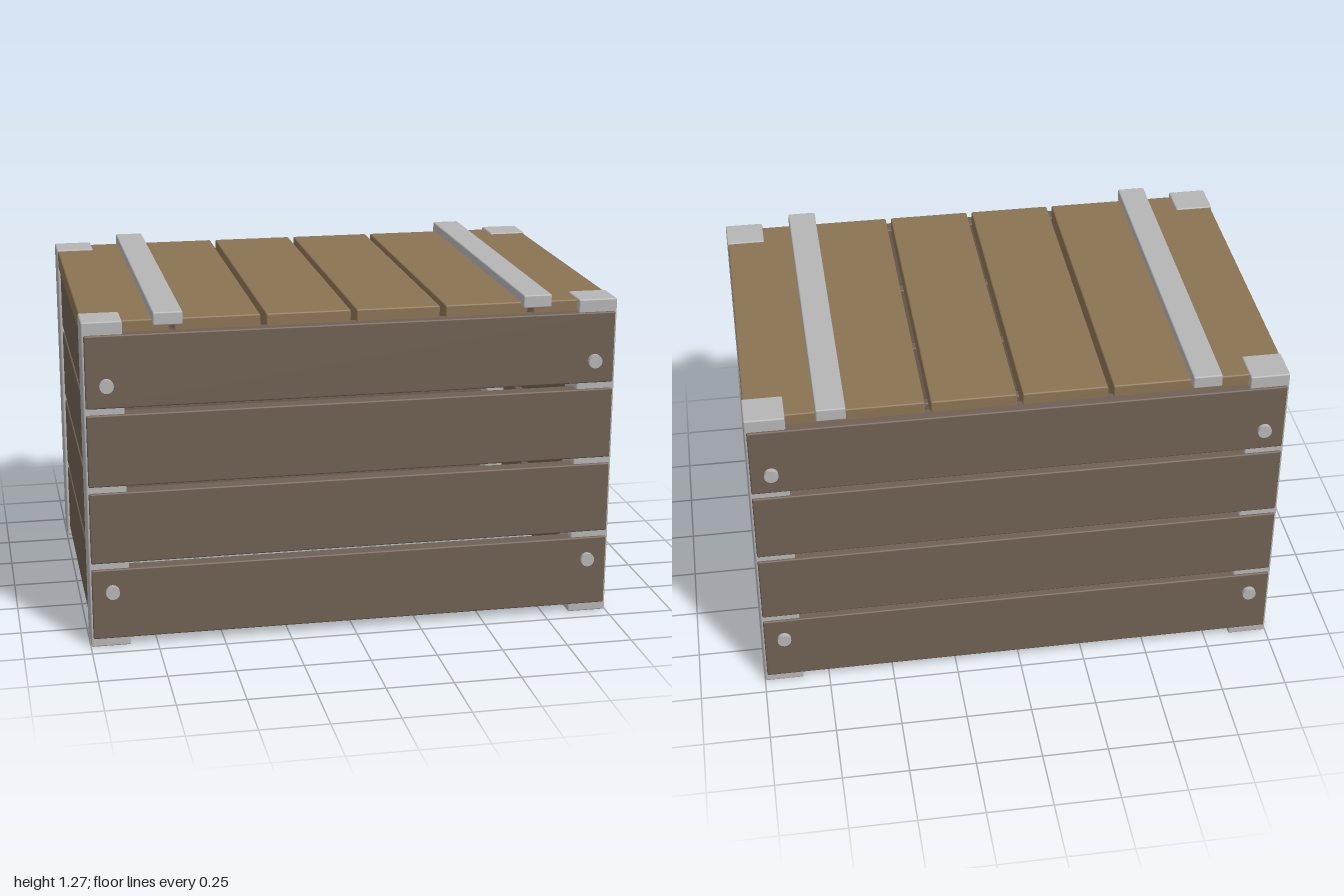
import * as THREE from 'three';
import { RoundedBoxGeometry } from 'three/addons/geometries/RoundedBoxGeometry.js';

export function createModel() {
  const crate = new THREE.Group();
  crate.name = 'crate';

  const material = (name, color) => {
    const m = new THREE.MeshStandardMaterial({ color });
    m.name = name;
    return m;
  };
  const darkWood = material('darkWood', 0x6f6053);
  const lidWood = material('lidWood', 0x8b7353);
  const metal = material('metal', 0xb5b5b5);

  // Box with softened edges, given by its minimum and maximum corners
  const addBox = (name, mat, min, max) => {
    const size = max.map((v, i) => v - min[i]);
    const mesh = new THREE.Mesh(new RoundedBoxGeometry(...size, 2, 0.006), mat);
    mesh.position.set(...max.map((v, i) => (v + min[i]) / 2));
    mesh.name = name;
    crate.add(mesh);
  };

  // Four wall boards per side; the floor is open
  for (let i = 0; i < 4; i++) {
    const y0 = 0.034 + i * 0.297, y1 = y0 + 0.273;
    addBox('frontBoard', darkWood, [-0.99, y0, 0.637], [0.99, y1, 0.697]);
    addBox('backBoard', darkWood, [-0.99, y0, -0.697], [0.99, y1, -0.637]);
    addBox('leftBoard', darkWood, [0.927, y0, -0.635], [0.987, y1, 0.635]);
    addBox('rightBoard', darkWood, [-0.987, y0, -0.635], [-0.927, y1, 0.635]);
  }

  // Six lid planks with narrow gaps
  for (let i = 0; i < 6; i++) {
    const x = (i - 2.5) * 0.335;
    addBox('lidPlank', lidWood, [x - 0.157, 1.17, -0.66], [x + 0.157, 1.242, 0.66]);
  }

  const boltGeometry = new THREE.CylinderGeometry(0.026, 0.026, 0.04, 16);
  boltGeometry.rotateX(Math.PI / 2);

  for (const sx of [-1, 1]) {
    // Straps across the lid
    addBox('lidStrap', metal, [sx * 0.687 - 0.054, 1.225, -0.697], [sx * 0.687 + 0.054, 1.275, 0.697]);

    for (const sz of [-1, 1]) {
      // Corner posts
      const x = sx * 0.924, z = sz * 0.617;
      addBox('cornerPost', metal, [x - 0.074, 0, z - 0.071], [x + 0.074, 1.247, z + 0.071]);

      // Bolts through the top and bottom boards
      for (const y of [0.22, 1.012]) {
        const bolt = new THREE.Mesh(boltGeometry, metal);
        bolt.name = 'bolt';
        bolt.position.set(sx * 0.914, y, sz * 0.695);
        crate.add(bolt);
      }
    }
  }
  return crate;
}
